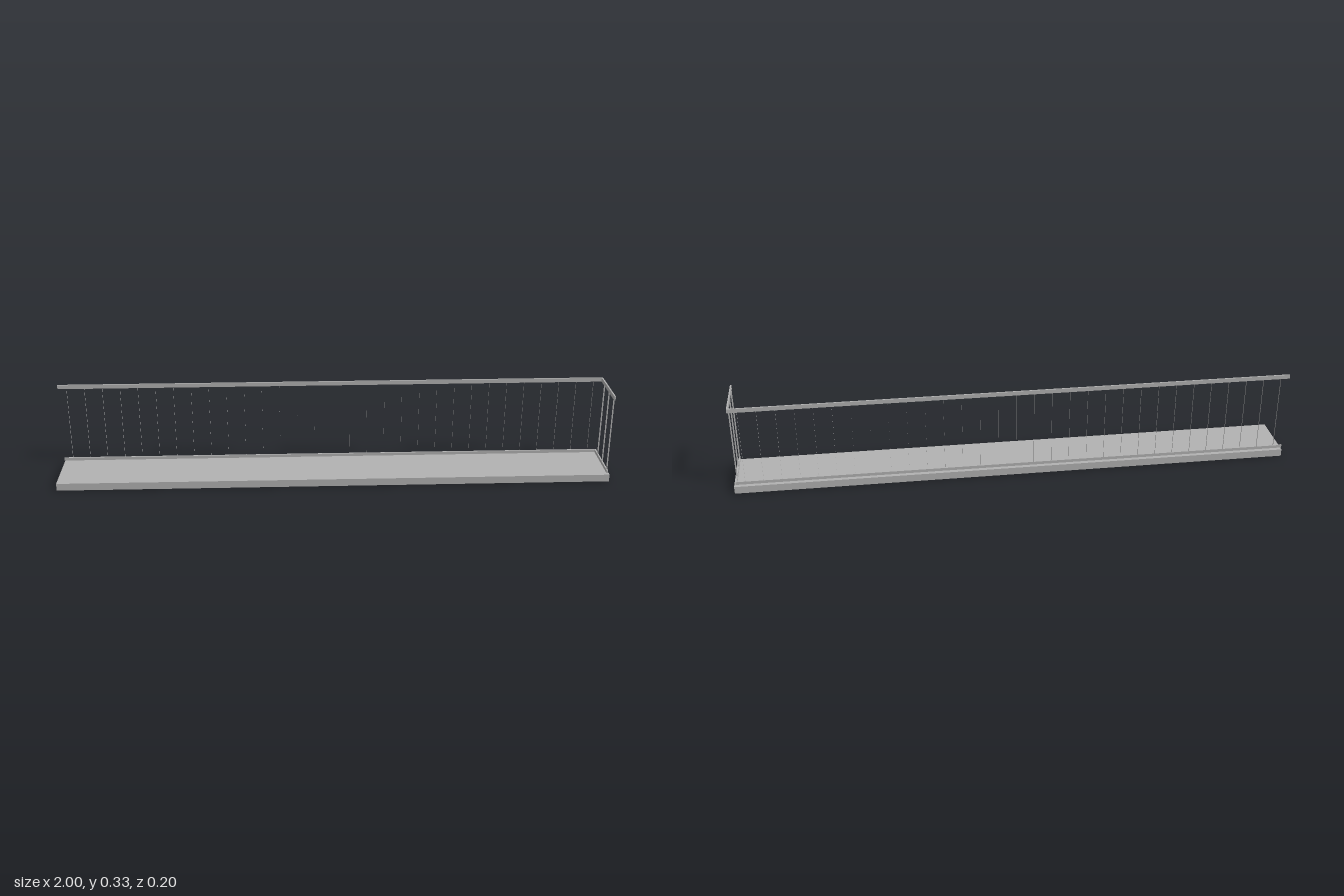
import * as THREE from 'three';

export function createModel() {
  const model = new THREE.Group();
  model.name = 'balcony';

  const concrete = new THREE.MeshStandardMaterial({ color: 0xb2b2b2 });
  concrete.name = 'grey';
  const barMetal = new THREE.MeshStandardMaterial({ color: 0xb2b2b2, side: THREE.DoubleSide });
  barMetal.name = 'grey thin bars';

  // Box given by its minimum and maximum corners
  const box = (name, [x0, y0, z0], [x1, y1, z1]) => {
    const mesh = new THREE.Mesh(new THREE.BoxGeometry(x1 - x0, y1 - y0, z1 - z0), concrete);
    mesh.position.set((x0 + x1) / 2, (y0 + y1) / 2, (z0 + z1) / 2);
    mesh.name = name;
    model.add(mesh);
  };

  // Floor slab
  box('floorSlab', [-1, 0, -0.098], [1, 0.027, 0.098]);

  // Bottom and top rails along the back and the left end
  const thick = 0.005, back = -0.092, end = 0.994;
  for (const [name, y0, y1] of [['bottom', 0.032, 0.043], ['top', 0.318, 0.333]]) {
    box(name + 'BackRail', [-1, y0, back], [end - thick, y1, back + thick]);
    box(name + 'EndRail', [end - thick, y0, back], [end, y1, 0.095]);
  }

  // Flat balusters standing edge-on to the rails
  const barGeometry = new THREE.PlaneGeometry(thick, 0.275);
  const baluster = (name, x, z, turn) => {
    const mesh = new THREE.Mesh(barGeometry, barMetal);
    mesh.position.set(x, 0.1805, z);
    mesh.rotation.y = turn;
    mesh.name = name;
    model.add(mesh);
  };
  const count = 31, step = 1.992 / count;
  for (let i = 0; i < count; i++) {
    baluster('backBaluster', -1 + step * (i + 0.5), back + thick / 2, Math.PI / 2);
  }
  for (let i = 0; i < 3; i++) {
    baluster('endBaluster', end - thick / 2, -0.05 + i * 0.067, 0);
  }

  return model;
}
